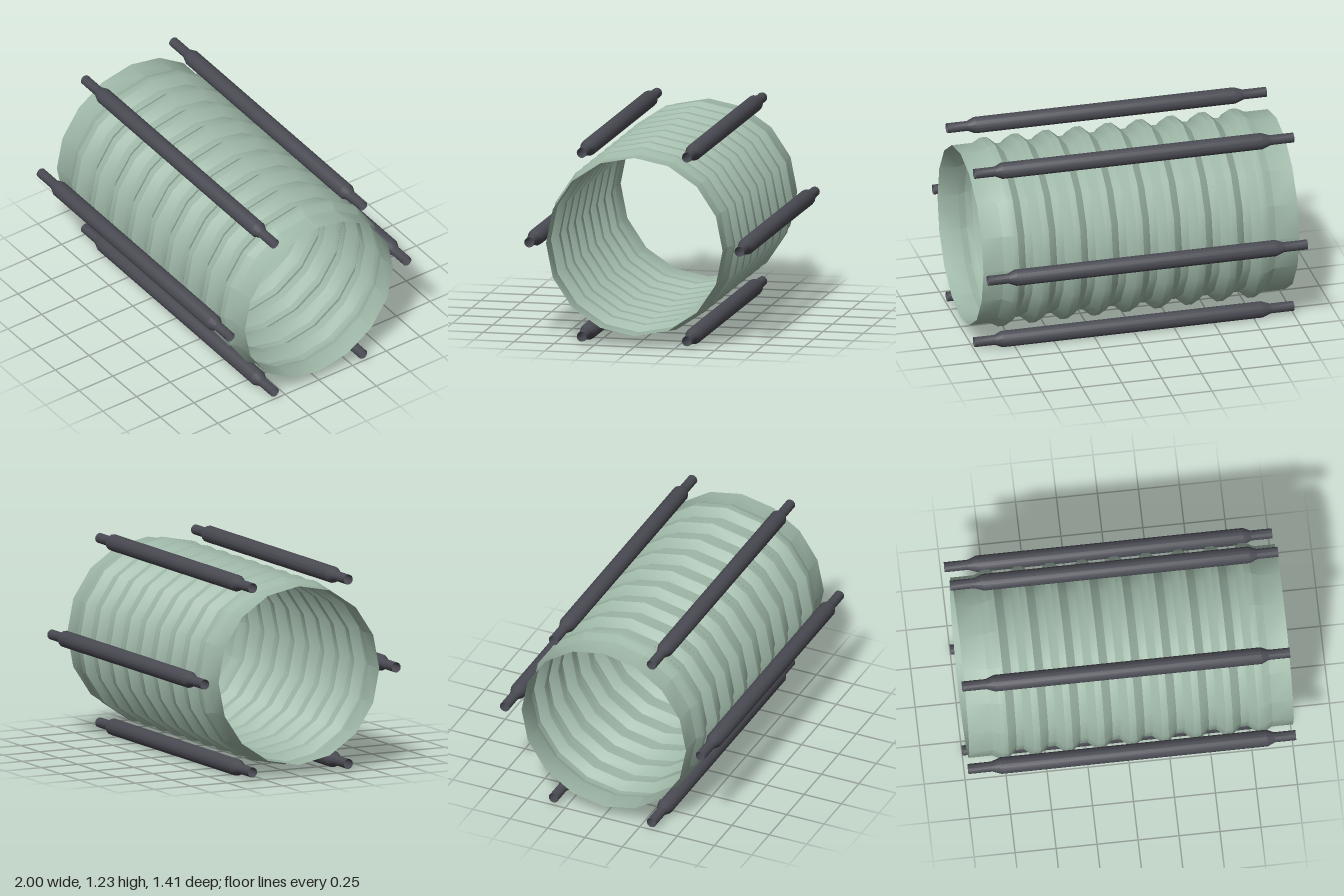
import * as THREE from 'three';
import { toCreasedNormals } from 'three/addons/utils/BufferGeometryUtils.js';

// Open shell turned around the x axis from [x, radius] pairs
function turned(name, profile, sides, material) {
  const points = profile.map(([x, r]) => new THREE.Vector2(r, x));
  const geometry = new THREE.LatheGeometry(points, sides).rotateZ(-Math.PI / 2);
  const mesh = new THREE.Mesh(toCreasedNormals(geometry, 0.52), material);
  mesh.name = name;
  return mesh;
}

export function createModel() {
  const model = new THREE.Group();
  model.name = 'corrugatedTubeWithRods';
  const centreY = 0.622;
  const tubeMaterial = new THREE.MeshStandardMaterial({ color: 0x9fb8a8, side: THREE.DoubleSide });
  const rodMaterial = new THREE.MeshStandardMaterial({ color: 0x4a4a53, side: THREE.DoubleSide });

  // Corrugated tube: plain collars at both ends, nine ridges between
  const ridges = 9, pitch = 0.1955;
  const end = 0.55, ridge = 0.577, groove = 0.532;
  const profile = [[-0.98, end], [-0.835, end]];
  for (let i = 0; i < ridges; i++) {
    const x = -0.762 + i * pitch;
    profile.push([x - 0.022, ridge], [x + 0.02, ridge]);
    if (i < ridges - 1) profile.push([x + 0.073, groove], [x + 0.122, groove]);
  }
  profile.push([0.87, end], [1, end]);
  const tube = turned('corrugatedTube', profile, 16, tubeMaterial);
  tube.position.y = centreY;
  model.add(tube);

  // Six hollow rods with narrowed ends, spaced around the tube
  const rodProfile = [
    [-1, 0.031], [-0.855, 0.031], [-0.8, 0.051],
    [0.825, 0.051], [0.87, 0.031], [1, 0.031],
  ];
  for (let i = 0; i < 6; i++) {
    const angle = (i * Math.PI) / 3;
    const rod = turned('rod' + (i + 1), rodProfile, 14, rodMaterial);
    rod.position.set(0, centreY + 0.655 * Math.sin(angle), 0.655 * Math.cos(angle));
    model.add(rod);
  }
  return model;
}
